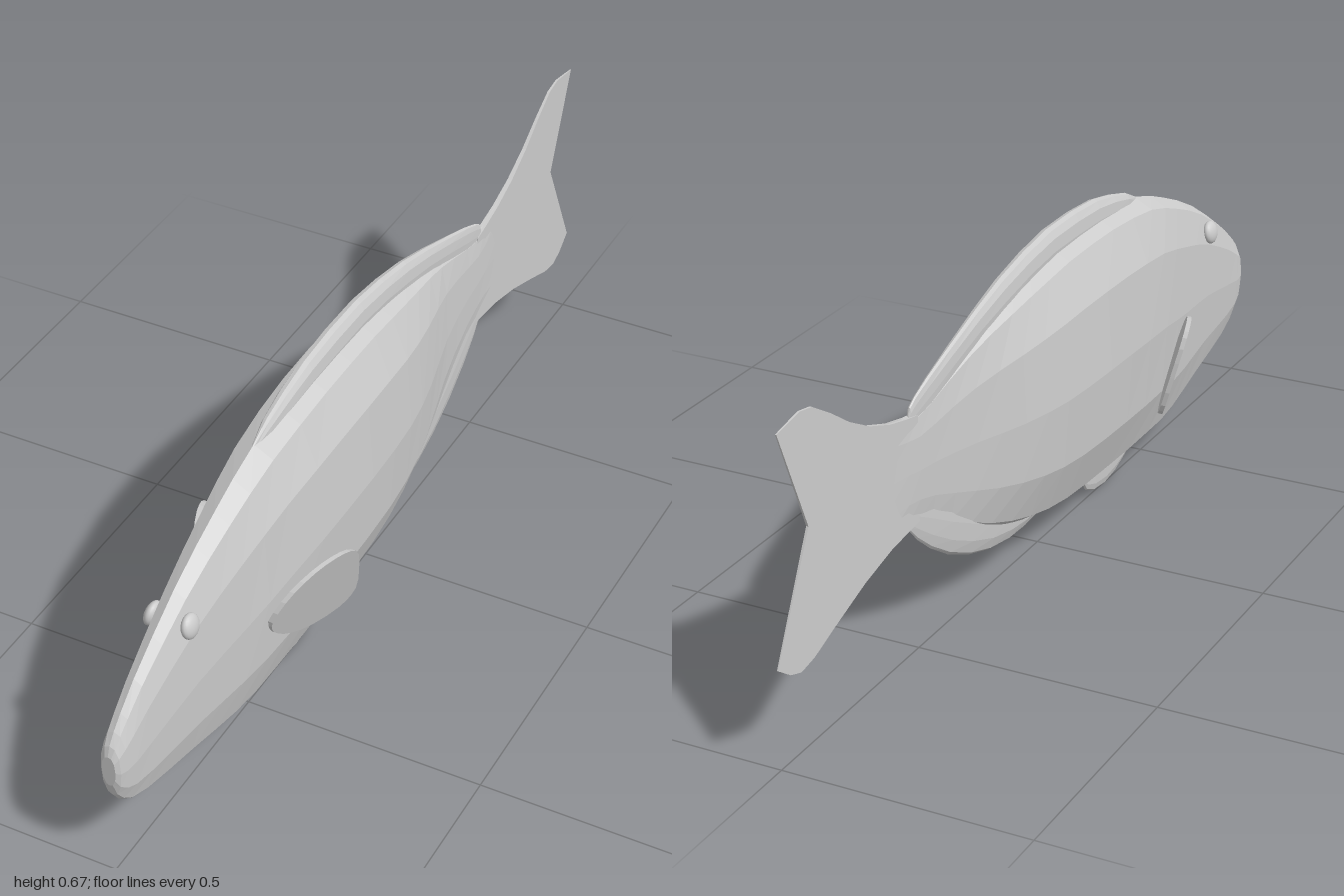
import * as THREE from 'three';

const material = new THREE.MeshStandardMaterial({ color: 0xcccccc, flatShading: true, side: THREE.DoubleSide });
const smooth = new THREE.MeshStandardMaterial({ color: 0xcccccc });

// Half of the twelve-sided cross-section, from top ridge to belly: [x, y], each -1..1
const half = [[0, 1], [0.5, 0.92], [0.88, 0.59], [1, 0], [0.88, -0.54], [0.47, -0.91], [0, -1]];
const ring = [...half, ...half.slice(1, -1).reverse().map(([x, y]) => [-x, y])];

// Skin over sections running front to back: [z, bottom, top, half width]
function loft(name, sections) {
  const n = ring.length, pos = [], index = [];
  for (const [z, bottom, top, w] of sections)
    for (const [x, y] of ring) pos.push(x * w, (top + bottom) / 2 + y * (top - bottom) / 2, z);
  for (let i = 0; i < sections.length - 1; i++)
    for (let j = 0; j < n; j++) {
      const a = i * n + j, b = i * n + (j + 1) % n;
      index.push(a, b, a + n, b, b + n, a + n);
    }
  const last = (sections.length - 1) * n;
  for (let j = 1; j < n - 1; j++) index.push(0, j + 1, j, last, last + j, last + j + 1);
  const geo = new THREE.BufferGeometry();
  geo.setAttribute('position', new THREE.Float32BufferAttribute(pos, 3));
  geo.setIndex(index);
  geo.computeVertexNormals();
  return part(name, geo);
}

function part(name, geo, mat = material) {
  const mesh = new THREE.Mesh(geo, mat);
  mesh.name = name;
  return mesh;
}

// Thin sheet from a side outline of [z, y]; place(z, y, s) gives x, with s = -0.5 or 0.5
function sheet(name, outline, place) {
  const shape = new THREE.Shape(outline.map(([z, y]) => new THREE.Vector2(-z, y)));
  const geo = new THREE.ExtrudeGeometry(shape, { depth: 1, bevelEnabled: false });
  const p = geo.attributes.position;
  for (let i = 0; i < p.count; i++) {
    const z = -p.getX(i), y = p.getY(i);
    p.setXYZ(i, place(z, y, p.getZ(i) - 0.5), y, z);
  }
  geo.computeVertexNormals();
  return part(name, geo);
}

export function createModel() {
  const fish = new THREE.Group();
  fish.name = 'fish';

  fish.add(loft('body', [
    [1, 0.215, 0.285, 0.014], [0.992, 0.185, 0.305, 0.021], [0.975, 0.16, 0.326, 0.026],
    [0.95, 0.138, 0.35, 0.029], [0.9, 0.116, 0.391, 0.033], [0.83, 0.098, 0.437, 0.039],
    [0.75, 0.08, 0.485, 0.046], [0.67, 0.062, 0.524, 0.055], [0.6, 0.048, 0.553, 0.063],
    [0.53, 0.042, 0.58, 0.072], [0.45, 0.045, 0.604, 0.081], [0.35, 0.048, 0.62, 0.089],
    [0.25, 0.052, 0.629, 0.093], [0.15, 0.056, 0.631, 0.094], [0.05, 0.062, 0.628, 0.092],
    [-0.03, 0.073, 0.618, 0.087], [-0.1, 0.088, 0.606, 0.078], [-0.17, 0.108, 0.59, 0.064],
    [-0.24, 0.134, 0.572, 0.047], [-0.31, 0.168, 0.55, 0.031], [-0.38, 0.206, 0.526, 0.021],
    [-0.45, 0.245, 0.502, 0.015], [-0.5, 0.264, 0.491, 0.012], [-0.54, 0.268, 0.496, 0.009],
    [-0.64, 0.255, 0.522, 0.003],
  ]));

  fish.add(loft('dorsalFin', [
    [0.46, 0.56, 0.6, 0.004], [0.4, 0.57, 0.629, 0.013], [0.33, 0.58, 0.648, 0.017],
    [0.25, 0.58, 0.664, 0.019], [0.15, 0.58, 0.671, 0.02], [0.04, 0.58, 0.67, 0.02],
    [-0.06, 0.57, 0.657, 0.019], [-0.16, 0.55, 0.637, 0.017], [-0.26, 0.53, 0.608, 0.014],
    [-0.36, 0.5, 0.575, 0.011], [-0.45, 0.47, 0.544, 0.008], [-0.5, 0.46, 0.523, 0.006],
    [-0.52, 0.46, 0.51, 0.005], [-0.525, 0.46, 0.495, 0.003],
  ]));

  fish.add(loft('analFin', [
    [0.01, 0.071, 0.11, 0.008], [-0.07, 0.067, 0.15, 0.016], [-0.14, 0.069, 0.18, 0.018],
    [-0.22, 0.082, 0.21, 0.018], [-0.3, 0.107, 0.25, 0.016], [-0.38, 0.144, 0.29, 0.013],
    [-0.45, 0.189, 0.32, 0.01], [-0.5, 0.23, 0.33, 0.007], [-0.535, 0.268, 0.32, 0.003],
  ]));

  fish.add(loft('pelvicFin', [
    [0.45, 0.042, 0.08, 0.005], [0.4, 0.022, 0.08, 0.009], [0.36, 0.008, 0.08, 0.01],
    [0.31, 0, 0.08, 0.01], [0.26, 0.005, 0.08, 0.009], [0.225, 0.02, 0.08, 0.007],
    [0.21, 0.045, 0.08, 0.004],
  ]));

  // Forked tail, thinning toward its rear edge
  fish.add(sheet('tailFin', [
    [-0.5, 0.27], [-0.5, 0.488], [-0.54, 0.495], [-0.6, 0.509], [-0.67, 0.534], [-0.74, 0.571], [-0.8, 0.612],
    [-0.86, 0.648], [-0.9, 0.655], [-0.975, 0.642], [-0.885, 0.43], [-1, 0.2],
    [-0.96, 0.172], [-0.925, 0.16], [-0.88, 0.168], [-0.8, 0.198], [-0.7, 0.233], [-0.6, 0.258],
  ], (z, y, s) => s * (0.002 + 0.024 * (1 + z))));

  // Pectoral fins lean out toward the rear and the top
  const outline = new THREE.CatmullRomCurve3([
    [0.535, 0.265], [0.51, 0.318], [0.46, 0.353], [0.4, 0.361], [0.36, 0.344], [0.33, 0.275],
    [0.316, 0.2], [0.34, 0.174], [0.42, 0.17], [0.485, 0.197], [0.525, 0.235],
  ].map(([z, y]) => new THREE.Vector3(z, y, 0)), true).getPoints(28).slice(0, -1).map(p => [p.x, p.y]);

  for (const side of [1, -1]) {
    const label = side > 0 ? 'left' : 'right';
    fish.add(sheet(label + 'PectoralFin', outline,
      (z, y, s) => side * (0.075 + 0.36 * (0.535 - z) + 0.3 * (y - 0.27)) + s * 0.01));

    const eye = part(label + 'Eye', new THREE.SphereGeometry(1, 20, 14), smooth);
    eye.scale.set(0.013, 0.025, 0.025);
    eye.position.set(side * 0.039, 0.425, 0.765);
    eye.rotation.z = side * 0.2;
    fish.add(eye);
  }
  return fish;
}
